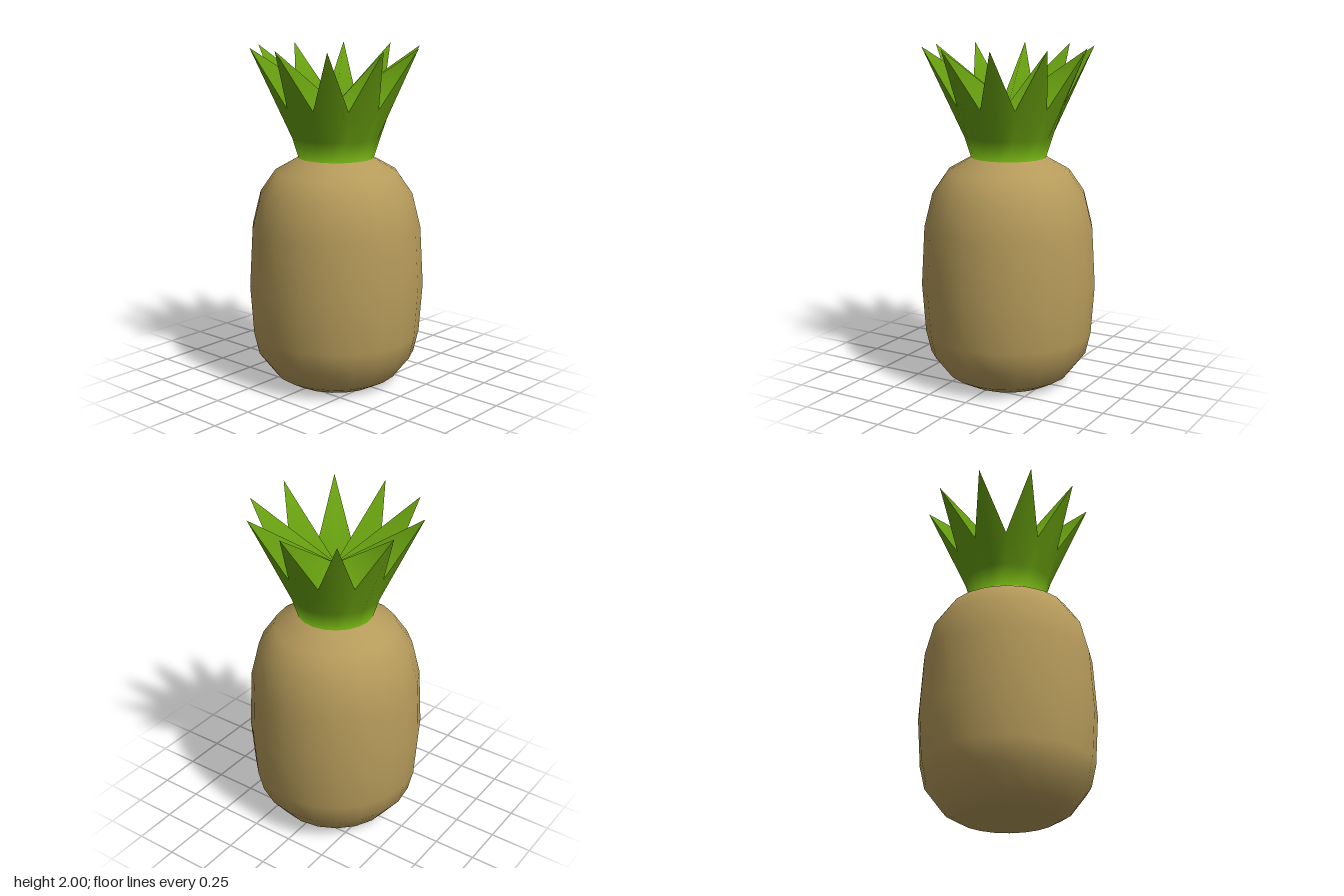
import * as THREE from 'three';

const SIDES = 20;

// Indexed surface from a list of points, smooth shaded
function surface(points, index) {
  const g = new THREE.BufferGeometry();
  g.setAttribute('position', new THREE.Float32BufferAttribute(points.flat(), 3));
  g.setIndex(index);
  g.computeVertexNormals();
  return g;
}

// Point on a ring; index 0 faces +z
function polar(i, r, y) {
  const a = (i / SIDES) * Math.PI * 2;
  return [Math.sin(a) * r, y, Math.cos(a) * r];
}

// Zigzag rim: even points are leaf tips, odd points are notches
const rimPoint = (i) => (i % 2 === 0 ? polar(i, 0.5, 2) : polar(i, 0.32, 1.66));

// Outside of the crown: collar ring, flare ring, zigzag rim
function crownOutside() {
  const pts = [];
  for (let i = 0; i < SIDES; i++) pts.push(polar(i, 0.22, 1.355));
  for (let i = 0; i < SIDES; i++) pts.push(polar(i, 0.26, 1.48));
  for (let i = 0; i < SIDES; i++) pts.push(rimPoint(i));
  const idx = [];
  for (let i = 0; i < SIDES; i++) {
    const j = (i + 1) % SIDES;
    const m = i + SIDES, n = j + SIDES, t = i + 2 * SIDES, u = j + 2 * SIDES;
    idx.push(i, j, n, i, n, m);
    if (i % 2 === 0) idx.push(m, u, t, m, n, u);
    else idx.push(m, n, t, n, u, t);
  }
  const g = surface(pts, idx);
  // Collar blends softly into the shoulder of the fruit
  for (let i = 0; i < SIDES; i++) g.attributes.normal.setXYZ(i, ...polar(i, 0.6, 0.8));
  return g;
}

// Inside of the crown: fan from the rim down to the centre
function crownInside() {
  const pts = [[0, 1.67, 0]];
  const idx = [];
  for (let i = 0; i < SIDES; i++) {
    pts.push(rimPoint(i));
    idx.push(0, i + 1, ((i + 1) % SIDES) + 1);
  }
  return surface(pts, idx);
}

export function createModel() {
  const model = new THREE.Group();
  const skin = new THREE.MeshStandardMaterial({ color: 0xb59a5a });
  skin.name = 'tan skin';
  const leaf = new THREE.MeshStandardMaterial({ color: 0x68a010 });
  leaf.name = 'leaf green';

  const add = (name, geometry, material) => {
    const mesh = new THREE.Mesh(geometry, material);
    mesh.name = name;
    model.add(mesh);
  };

  // Barrel-shaped fruit
  const profile = [
    [0, 0], [0.28, 0], [0.37, 0.05], [0.47, 0.18], [0.5, 0.31], [0.52, 0.6],
    [0.5, 0.95], [0.45, 1.15], [0.36, 1.28], [0.22, 1.36],
  ].map(([r, y]) => new THREE.Vector2(r, y));
  add('fruitBody', new THREE.LatheGeometry(profile, SIDES), skin);

  // Leafy crown
  add('crownOutside', crownOutside(), leaf);
  add('crownInside', crownInside(), leaf);

  return model;
}
